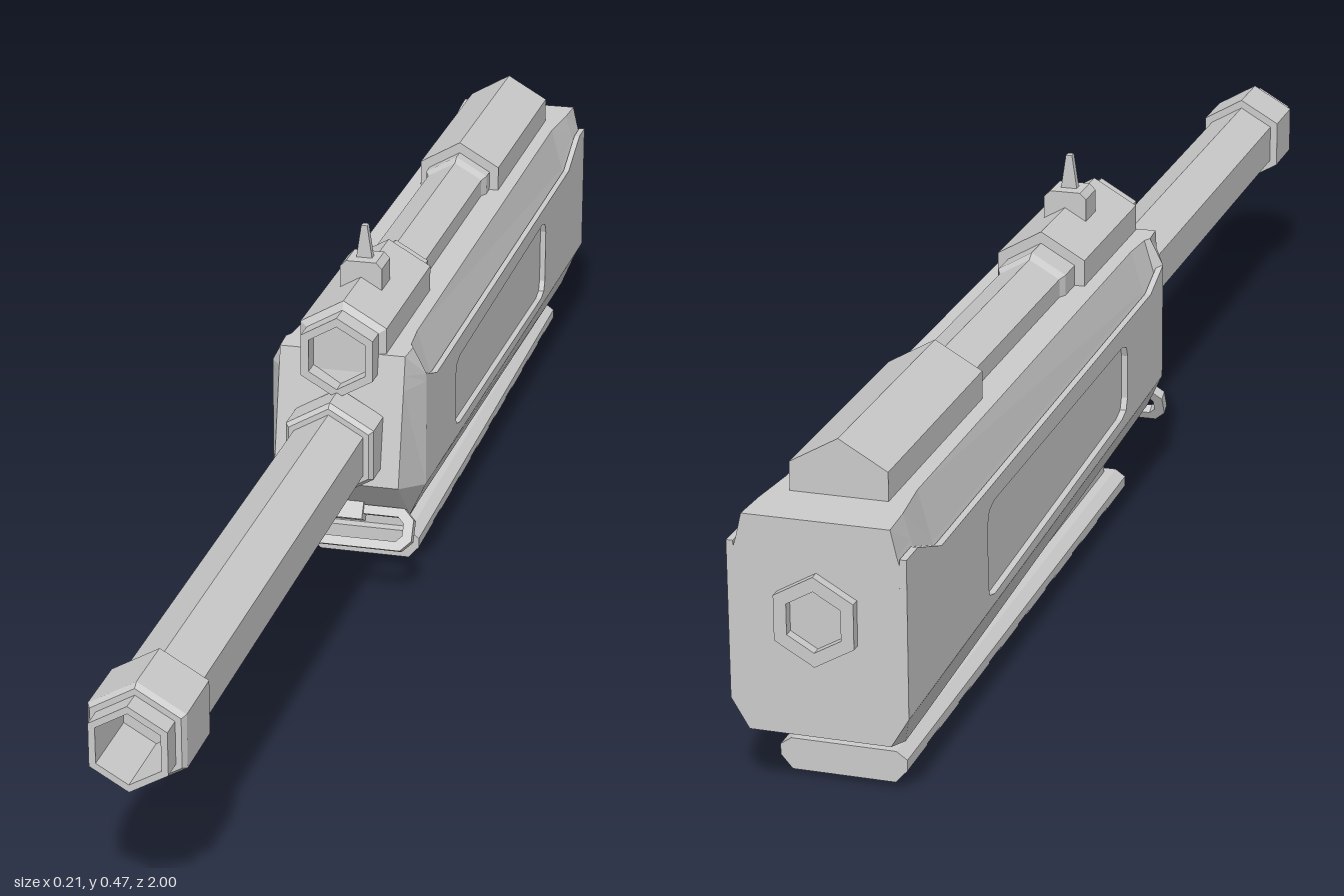
import * as THREE from 'three';

const grey = new THREE.MeshStandardMaterial({ color: 0xcccccc, flatShading: true });

function add(group, name, geometry, x = 0, y = 0, z = 0) {
  const mesh = new THREE.Mesh(geometry, grey);
  mesh.name = name;
  mesh.position.set(x, y, z);
  group.add(mesh);
  return mesh;
}

const vec = ([x, y]) => new THREE.Vector2(x, y);
const polygon = (pts) => new THREE.Shape(pts.map(vec));
const extrude = (shape, depth) => new THREE.ExtrudeGeometry(shape, { depth, bevelEnabled: false });

// Six-sided turned part along z, from [radius, z] points running back to front
const hexTurned = (pts) => new THREE.LatheGeometry(pts.map(vec), 6).rotateX(Math.PI / 2);

// Rectangle with cut corners
const cutRect = (w, h, c) => [
  [-w + c, -h], [w - c, -h], [w, -h + c], [w, h - c],
  [w - c, h], [-w + c, h], [-w, h - c], [-w, -h + c],
];

// Skin over half sections of [x, y, z], listed bottom to top and mirrored in x
function loft(sections) {
  const n = sections[0].length * 2;
  const pos = [], idx = [];
  for (const s of sections) {
    for (const p of s) pos.push(...p);
    for (const [x, y, z] of [...s].reverse()) pos.push(-x, y, z);
  }
  for (let i = 0; i < sections.length - 1; i++) {
    for (let j = 0; j < n; j++) {
      const a = i * n + j, b = i * n + (j + 1) % n, c = b + n, d = a + n;
      idx.push(a, d, b, b, d, c);
    }
  }
  const last = (sections.length - 1) * n;
  for (let j = 0; j < n / 2 - 1; j++) {
    const a = j, b = j + 1, c = n - 2 - j, d = n - 1 - j;
    idx.push(a, b, c, a, c, d);
    idx.push(last + a, last + c, last + b, last + a, last + d, last + c);
  }
  const g = new THREE.BufferGeometry();
  g.setAttribute('position', new THREE.Float32BufferAttribute(pos, 3));
  g.setIndex(idx);
  g.computeVertexNormals();
  return g;
}

export function createModel() {
  const model = new THREE.Group();
  model.name = 'barrelAssembly';

  // Housing: sloped nose, recessed flanks, chamfered underside
  const at = (z, pts) => pts.map(([x, y]) => [x, y, z]);
  const inner = (z, yb, yl, ys, xt) => at(z, [
    [0.082, yb], [0.103, yl], [0.095, yl], [0.095, ys], [0.092, ys + 0.01], [xt, 0.335],
  ]);
  add(model, 'housing', loft([
    [[0.075, 0.122, 0.08], [0.083, 0.165, 0.12], [0.083, 0.165, 0.12],
      [0.083, 0.29, 0.094], [0.083, 0.31, 0.09], [0.083, 0.335, 0.085]],
    at(0.05, [[0.082, 0.1], [0.103, 0.145], [0.103, 0.145], [0.103, 0.29], [0.103, 0.3], [0.085, 0.335]]),
    inner(0.04, 0.1, 0.145, 0.285, 0.08),
    inner(-0.01, 0.098, 0.143, 0.272, 0.076),
    inner(-0.87, 0.067, 0.118, 0.265, 0.076),
    inner(-0.94, 0.065, 0.116, 0.295, 0.083),
    inner(-0.988, 0.08, 0.115, 0.295, 0.085),
  ]));

  // Side plates with a sunken panel; drawn as [-z, y]
  const plate = polygon([
    [-0.05, 0.145], [0.988, 0.115], [0.988, 0.302], [0.95, 0.302],
    [0.87, 0.272], [0.01, 0.279], [-0.05, 0.3],
  ]);
  plate.holes.push(new THREE.Path([
    [0.12, 0.175], [0.126, 0.16], [0.145, 0.154], [0.68, 0.136], [0.699, 0.141], [0.705, 0.155],
    [0.705, 0.232], [0.699, 0.246], [0.68, 0.252], [0.145, 0.252], [0.126, 0.246], [0.12, 0.232],
  ].map(vec)));
  const plateGeo = extrude(plate, 0.008).rotateY(Math.PI / 2);
  add(model, 'leftSidePlate', plateGeo, 0.095);
  add(model, 'rightSidePlate', plateGeo, -0.103);

  // Long hexagonal barrel, bored at both ends, with two collars
  add(model, 'barrel', hexTurned([
    [0, -0.975], [0.036, -0.975], [0.036, -1], [0.053, -1],
    [0.053, 0.1], [0.067, 0.1], [0.067, 0.15], [0.061, 0.157], [0.053, 0.157],
    [0.053, 0.88], [0.065, 0.88], [0.065, 0.965], [0.06, 0.972], [0.052, 0.972],
    [0.052, 1], [0.043, 1], [0.043, 0.9], [0, 0.9],
  ]), 0, 0.222);

  // Upper tube with a waisted middle and a bored front
  add(model, 'upperTube', hexTurned([
    [0, -0.912], [0.066, -0.912], [0.066, -0.58], [0.051, -0.58], [0.051, -0.56],
    [0.045, -0.55], [0.045, -0.21], [0.051, -0.2], [0.051, -0.16], [0.066, -0.16],
    [0.066, 0.08], [0.055, 0.085], [0.055, 0.115], [0.043, 0.115], [0.043, 0.09], [0, 0.09],
  ]), 0, 0.336);

  // Front sight
  add(model, 'sightBase', extrude(polygon([
    [-0.028, 0.385], [0.028, 0.385], [0.028, 0.415], [0.02, 0.423], [-0.02, 0.423], [-0.028, 0.415],
  ]), 0.045), 0, 0, -0.055);
  add(model, 'sightPost', extrude(polygon([
    [-0.011, 0.42], [0.011, 0.42], [0.004, 0.467], [-0.004, 0.467],
  ]), 0.01), 0, 0, -0.037);

  // Accessory rail: neck, continuous upper strip and separate teeth
  const rail = new THREE.Group();
  rail.name = 'rail';
  model.add(rail);
  add(rail, 'railNeck', new THREE.BoxGeometry(0.1, 0.075, 0.86), 0, 0.0725, -0.475);
  add(rail, 'railStrip', extrude(polygon([
    [-0.075, 0.018], [0.075, 0.018], [0.075, 0.029], [0.062, 0.038], [-0.062, 0.038], [-0.075, 0.029],
  ]), 0.885), 0, 0, -0.915);
  const tooth = polygon([[-0.061, 0], [0.061, 0], [0.075, 0.016], [0.075, 0.019], [-0.075, 0.019], [-0.075, 0.016]]);
  for (let i = 0; i < 8; i++) {
    const front = i === 0 ? -0.03 : -0.045 - i * 0.1145;
    const back = i === 7 ? -0.915 : -0.115 - i * 0.1145;
    add(rail, 'railTooth', extrude(tooth, front - back), 0, 0, back);
  }

  // Tilted sling loop under the nose
  const sling = new THREE.Group();
  sling.name = 'slingLoop';
  sling.position.set(0, 0.093, 0.088);
  sling.rotation.x = -0.5;
  model.add(sling);
  const loop = polygon(cutRect(0.096, 0.028, 0.014));
  loop.holes.push(new THREE.Path(cutRect(0.083, 0.016, 0.008).map(vec)));
  add(sling, 'loop', extrude(loop, 0.014), 0, 0, -0.007);
  add(sling, 'loopMount', new THREE.BoxGeometry(0.056, 0.036, 0.024), 0, 0.026, 0);

  return model;
}
